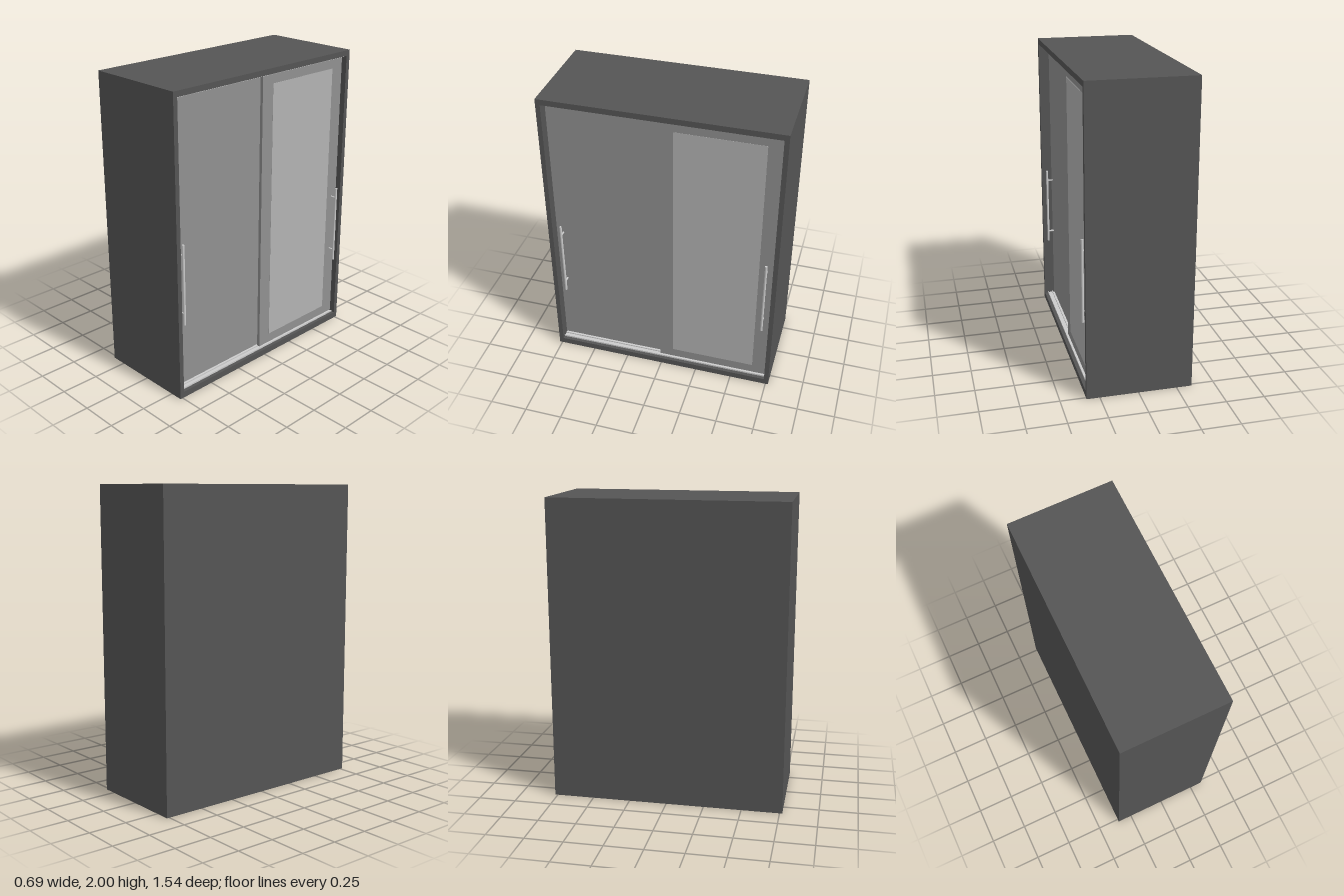
import * as THREE from 'three';

const mat = (color) => new THREE.MeshStandardMaterial({ color });
const carcassMat = mat(0x555555);
const doorMat = mat(0x909090);
const mirrorMat = mat(0xb2b2b2);
const metalMat = mat(0xbcbcbc);

// Box given by its minimum and maximum corners
function box(name, material, [x0, y0, z0], [x1, y1, z1]) {
  const mesh = new THREE.Mesh(new THREE.BoxGeometry(x1 - x0, y1 - y0, z1 - z0), material);
  mesh.position.set((x0 + x1) / 2, (y0 + y1) / 2, (z0 + z1) / 2);
  mesh.name = name;
  return mesh;
}

// Upright bar handle on two posts, fixed to a door face at x
function handle(name, x, z) {
  const group = new THREE.Group();
  group.name = name;
  const bar = new THREE.Mesh(new THREE.CylinderGeometry(0.008, 0.008, 0.545, 20), metalMat);
  bar.name = 'handleBar';
  bar.position.set(x + 0.04, 0.768, z);
  group.add(bar);
  for (const y of [0.57, 0.968]) {
    const post = new THREE.Mesh(new THREE.CylinderGeometry(0.006, 0.006, 0.04, 16), metalMat);
    post.name = 'handlePost';
    post.rotation.z = Math.PI / 2;
    post.position.set(x + 0.02, y, z);
    group.add(post);
  }
  return group;
}

// Double sliding track: a thin plate with three upright fins
function track(name, yPlate, yFin) {
  const group = new THREE.Group();
  group.name = name;
  const dir = Math.sign(yFin - yPlate);
  const strip = (part, x0, x1, a, b) =>
    group.add(box(part, metalMat, [x0, Math.min(a, b), -0.738], [x1, Math.max(a, b), 0.738]));
  strip('trackPlate', 0.24, 0.312, yPlate, yPlate + dir * 0.003);
  for (const x of [0.24, 0.276, 0.308]) strip('trackFin', x, x + 0.004, yPlate, yFin);
  return group;
}

export function createModel() {
  const model = new THREE.Group();
  model.name = 'slidingDoorWardrobe';
  const back = -0.35, front = 0.335, half = 0.768, inner = 0.738;

  // Carcass, open towards +x
  model.add(
    box('bottomPanel', carcassMat, [back, 0, -half], [front, 0.042, half]),
    box('topPanel', carcassMat, [back, 1.963, -half], [front, 2, half]),
    box('leftSidePanel', carcassMat, [back, 0.042, inner], [front, 1.963, half]),
    box('rightSidePanel', carcassMat, [back, 0.042, -half], [front, 1.963, -inner]),
    box('backPanel', carcassMat, [back, 0.042, -inner], [back + 0.02, 1.963, inner]),
  );

  // Sliding tracks
  model.add(track('bottomTrack', 0.042, 0.053), track('topTrack', 1.963, 1.953));

  // Inner plain door, and outer door with a mirror
  model.add(
    box('innerDoor', doorMat, [0.245, 0.053, -0.02], [0.265, 1.947, inner]),
    handle('innerDoorHandle', 0.265, 0.693),
    box('outerDoor', doorMat, [0.276, 0.053, -inner], [0.297, 1.953, 0.015]),
    box('mirror', mirrorMat, [0.29, 0.117, -0.643], [0.298, 1.888, -0.077]),
    handle('outerDoorHandle', 0.297, -0.693),
  );
  return model;
}
